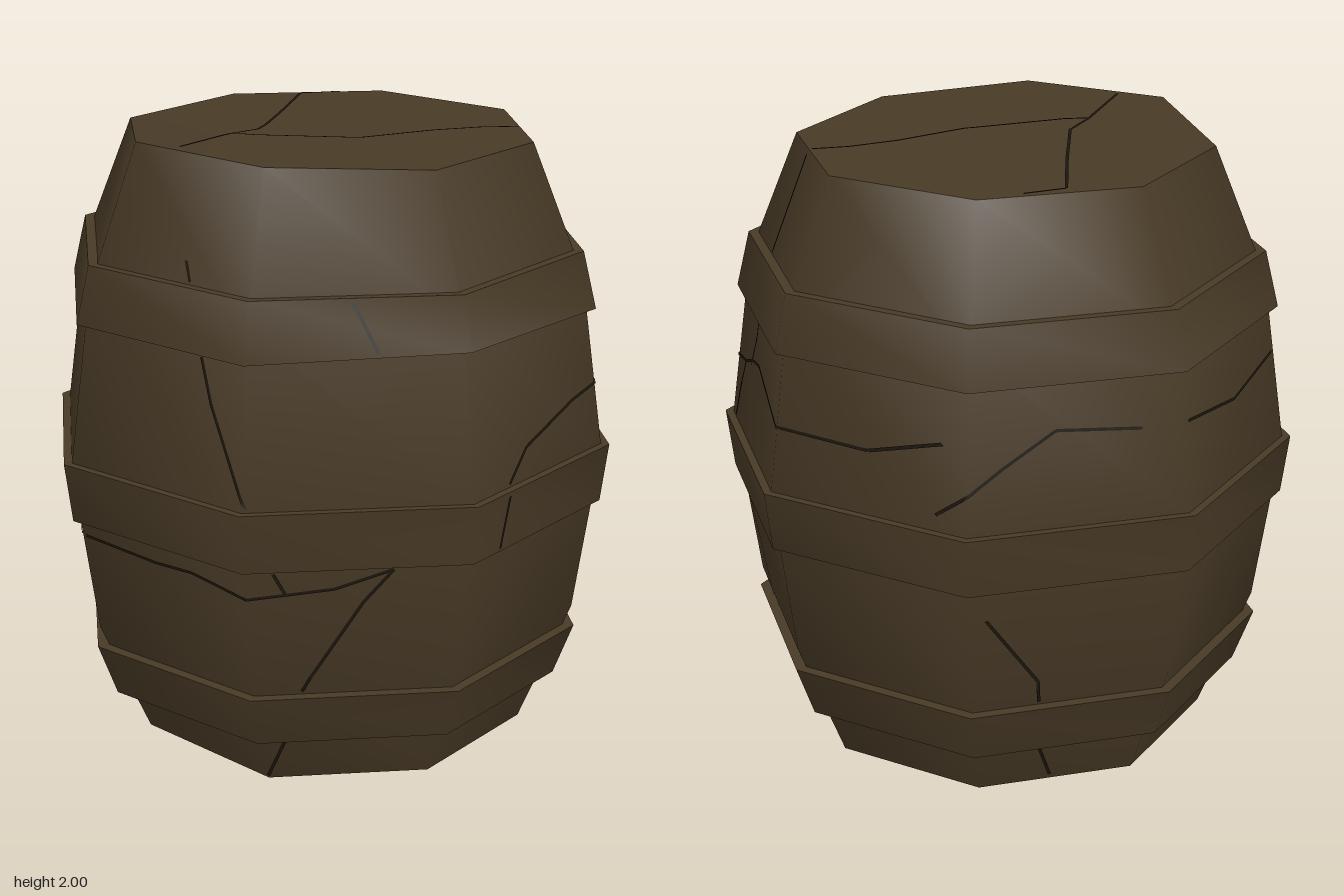
import * as THREE from 'three';
import { toCreasedNormals } from 'three/addons/utils/BufferGeometryUtils.js';

const SIDES = 8;
const BODY = [[0.67, 0], [0.84, 0.42], [0.92, 0.98], [0.84, 1.55], [0.67, 1.97]];
// each hoop: bottom y, bottom radius, top y, top radius
const HOOPS = {
  lowerHoop: [0.175, 0.785, 0.352, 0.85],
  middleHoop: [0.803, 0.92, 0.998, 0.945],
  upperHoop: [1.447, 0.885, 1.632, 0.84],
};

const lerp = THREE.MathUtils.lerp;

// corner radius of the outermost surface at height y
function radiusAt(y) {
  for (const [y0, r0, y1, r1] of Object.values(HOOPS)) {
    if (y >= y0 && y <= y1) return lerp(r0, r1, (y - y0) / (y1 - y0));
  }
  let i = 0;
  while (i < BODY.length - 2 && y > BODY[i + 1][1]) i++;
  const [r0, y0] = BODY[i], [r1, y1] = BODY[i + 1];
  return lerp(r0, r1, (y - y0) / (y1 - y0));
}

// tilt of the broken lid piece
const lidLift = (x, z) => 0.03 * Math.max(0, Math.min(z / 0.47, 1.15 * z - 0.98 * x));

// lathe with a vertex rule and sharp rims
function lathe(points, rule) {
  const geo = new THREE.LatheGeometry(points.map(([r, y]) => new THREE.Vector2(r, y)), SIDES);
  const p = geo.attributes.position;
  for (let i = 0; i < p.count; i++) p.setY(i, p.getY(i) + rule(p.getX(i), p.getY(i), p.getZ(i)));
  return toCreasedNormals(geo, 0.95);
}

// point on the octagonal side facing +z, at sideways offset u
function onSide(u, y) {
  const r = radiusAt(y) + 0.004, a = Math.abs(u);
  const z = a < r * Math.SQRT1_2 ? r - a * 0.4142 : Math.max(0, r - a) * 2.4142;
  return [u, y, z];
}
const onLid = (x, z) => [x, 1.974 + lidLift(x, z), z];

// thin ribbon following a path across a surface
function ribbon(path, place, halfWidth = 0.005, steps = 14) {
  const pos = [], index = [];
  for (let s = 0; s < path.length - 1; s++) {
    const [a0, b0] = path[s], [a1, b1] = path[s + 1];
    const len = Math.hypot(a1 - a0, b1 - b0);
    const na = -(b1 - b0) / len * halfWidth, nb = (a1 - a0) / len * halfWidth;
    for (let k = 0; k <= steps; k++) {
      const a = lerp(a0, a1, k / steps), b = lerp(b0, b1, k / steps);
      const i = pos.length / 3;
      pos.push(...place(a + na, b + nb), ...place(a - na, b - nb));
      if (k < steps) index.push(i, i + 1, i + 2, i + 1, i + 3, i + 2);
    }
  }
  const geo = new THREE.BufferGeometry();
  geo.setAttribute('position', new THREE.Float32BufferAttribute(pos, 3));
  geo.setIndex(index);
  geo.computeVertexNormals();
  return geo;
}

// crack paths as [sideways, height], seen square on to each side
const FRONT = [
  [[-0.33, 1.955], [-0.28, 1.8], [-0.22, 1.64]],
  [[0.29, 1.62], [0.37, 1.47]],
  [[-0.16, 1.435], [-0.12, 1.3], [0.01, 1.01]],
  [[0.08, 0.79], [0.11, 0.72]],
  [[-0.86, 0.79], [-0.8, 0.73], [-0.72, 0.76], [-0.34, 0.735], [-0.2, 0.74], [0, 0.705], [0.25, 0.73], [0.42, 0.79]],
  [[0.42, 0.79], [0.33, 0.68], [0.17, 0.42], [0.14, 0.365]],
  [[0.07, 0.165], [0, 0.01]],
];
const LEFT = [
  [[0.2, 1.955], [0.23, 1.64]],
  [[0.25, 1.435], [0.25, 1.36], [0.21, 1.25]],
  [[-0.48, 1.01], [-0.38, 1.1], [-0.13, 1.18], [0.13, 1.23], [0.23, 1.27], [0.32, 1.285], [0.62, 1.21], [0.76, 1.2], [0.85, 1.27]],
  [[0.13, 1.23], [0.09, 1.13], [0.06, 1.01]],
  [[-0.52, 0.985], [-0.53, 0.815]],
  [[0.09, 0.79], [0.09, 0.71], [0.21, 0.43], [0.2, 0.365]],
  [[0.15, 0.165], [0.12, 0.1], [0.11, 0.01]],
];
const BACK = [
  [[0.05, 0.7], [0.2, 0.45], [0.2, 0.365]],
  [[0.19, 0.165], [0.22, 0.02]],
  [[-0.1, 1.05], [0.1, 1.2], [0.25, 1.3], [0.5, 1.28]],
];
const RIGHT = [
  [[-0.6, 1.28], [-0.3, 1.24], [-0.02, 1.3]],
];
const LID = [
  [[-0.13, -0.6], [-0.25, -0.53], [-0.22, -0.2], [-0.2, 0.1], [-0.25, 0.22], [-0.32, 0.5]],
  [[-0.25, 0.22], [-0.17, 0.21], [0.14, 0.1], [0.33, -0.07], [0.47, -0.16], [0.58, -0.2]],
];

export function createModel() {
  const wood = new THREE.MeshStandardMaterial({ color: 0x483a26 });
  wood.name = 'dark brown wood';
  const shade = new THREE.MeshStandardMaterial({ color: 0x1c160d, side: THREE.DoubleSide });
  shade.name = 'crack brown';

  const model = new THREE.Group();
  model.name = 'barrel';
  const add = (parent, name, geo, mat) => {
    const mesh = new THREE.Mesh(geo, mat);
    mesh.name = name;
    parent.add(mesh);
  };

  // staves with lid and base; one corner of each end is pushed up
  add(model, 'body', lathe([[0, 0], ...BODY, [0, 1.97]], (x, y, z) => {
    if (y > 1.9) return lidLift(x, z);
    return y < 0.1 ? 0.03 * Math.max(0, Math.min(z, -x)) / 0.47 : 0;
  }), wood);

  // hoops; the upper one sits slightly askew
  for (const [name, [y0, r0, y1, r1]] of Object.entries(HOOPS)) {
    const profile = [[r0 - 0.1, y0], [r0, y0], [r1, y1], [r1 - 0.1, y1]];
    const askew = (x, y, z) =>
      name === 'upperHoop' && y < 1.5 ? 0.018 * Math.max(0, Math.min(x, z)) / 0.62 : 0;
    add(model, name, lathe(profile, askew), wood);
  }

  // cracks on the four sides and the lid
  const sides = [['front', FRONT, 0], ['left', LEFT, Math.PI / 2], ['back', BACK, Math.PI], ['right', RIGHT, -Math.PI / 2]];
  for (const [name, paths, turn] of sides) {
    const group = new THREE.Group();
    group.name = name + 'Cracks';
    group.rotation.y = turn;
    for (const path of paths) add(group, name + 'Crack', ribbon(path, onSide), shade);
    model.add(group);
  }
  for (const path of LID) add(model, 'lidCrack', ribbon(path, onLid), shade);

  return model;
}
